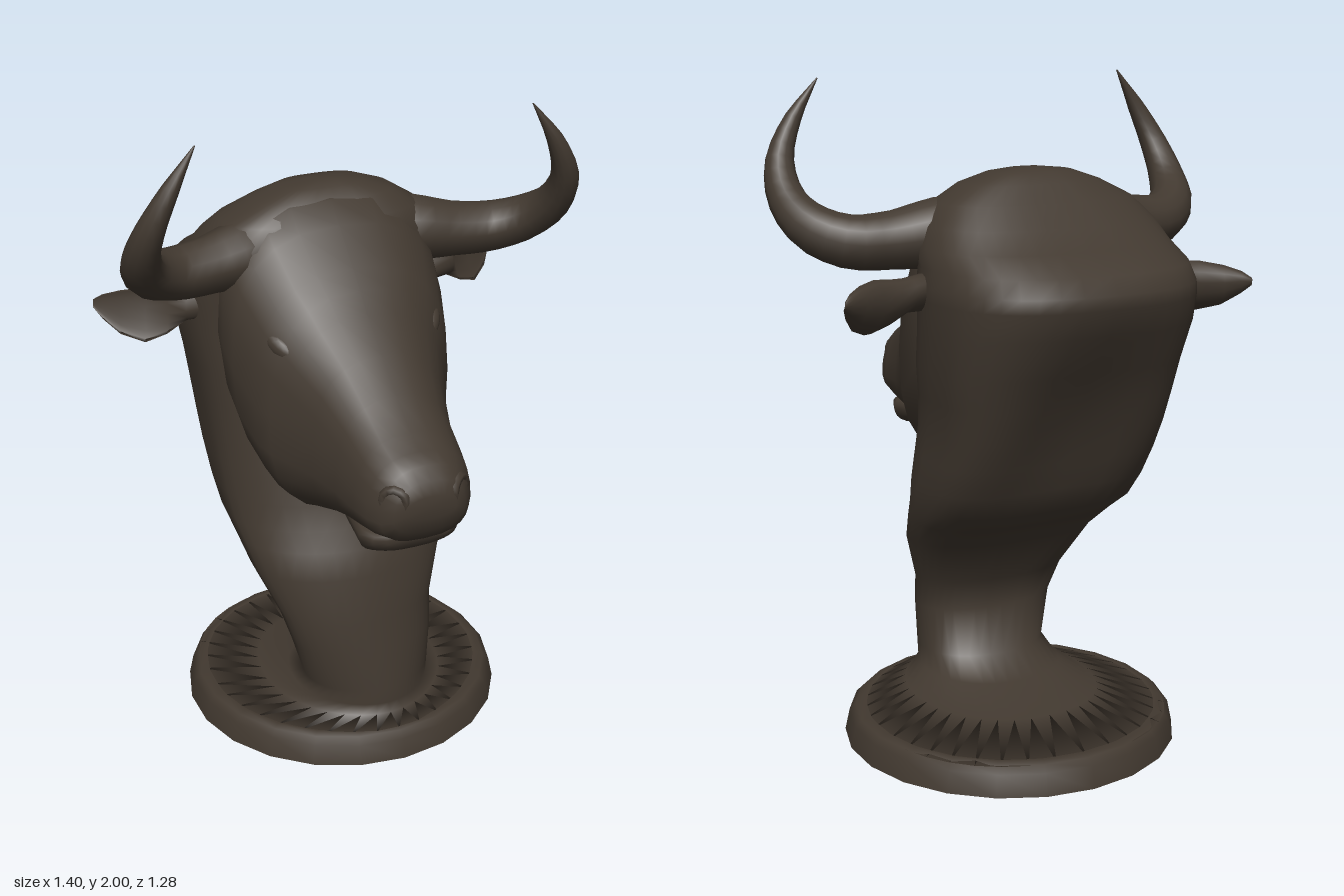
import * as THREE from 'three';

const hide = new THREE.MeshStandardMaterial({ color: 0x423930 });
hide.name = 'dark bronze';

// Closed smooth skin over a list of rings (each a loop of Vector3), wound outward
function loft(name, rings) {
  const n = rings[0].length, pos = [], idx = [];
  const centre = r => r.reduce((a, p) => a.add(p), new THREE.Vector3()).divideScalar(n);
  rings.flat().forEach(p => pos.push(p.x, p.y, p.z));
  const last = rings.length - 1;
  for (let i = 0; i < last; i++) {
    for (let j = 0; j < n; j++) {
      const a = i * n + j, b = i * n + (j + 1) % n;
      idx.push(a, a + n, b, b, a + n, b + n);
    }
  }
  const c0 = rings.length * n;
  [rings[0], rings[last]].forEach(r => pos.push(...centre(r).toArray()));
  for (let j = 0; j < n; j++) {
    const k = (j + 1) % n;
    idx.push(c0, j, k, c0 + 1, last * n + k, last * n + j);
  }
  // Signed volume decides the winding
  const at = i => new THREE.Vector3().fromArray(pos, i * 3);
  let volume = 0;
  for (let i = 0; i < idx.length; i += 3) {
    volume += at(idx[i]).dot(at(idx[i + 1]).cross(at(idx[i + 2])));
  }
  if (volume < 0) idx.reverse();
  const g = new THREE.BufferGeometry();
  g.setAttribute('position', new THREE.Float32BufferAttribute(pos, 3));
  g.setIndex(idx);
  g.computeVertexNormals();
  return part(name, g);
}

function part(name, geometry) {
  const m = new THREE.Mesh(geometry, hide);
  m.name = name;
  return m;
}

// Superellipse loop of unit size as [u, v] pairs; the v < 0 half may be squarer
function loop(n, p, pBack = p) {
  return Array.from({ length: n }, (_, j) => {
    const a = j / n * Math.PI * 2, c = Math.cos(a), s = Math.sin(a);
    const e = 2 / (s < 0 ? pBack : p);
    return [Math.sign(c) * Math.abs(c) ** e, Math.sign(s) * Math.abs(s) ** e];
  });
}

const bell = (x, mid, width) => Math.exp(-(((x - mid) / width) ** 2));
const HEAD_X = -0.025;

// Horizontal sections: y, back z, front z, half width, centre x
const neckRows = [
  [0.084, -0.595, 0.345, 0.47, 0.03], [0.12, -0.36, 0.30, 0.29, 0.02],
  [0.16, -0.17, 0.30, 0.22, 0.01], [0.21, -0.05, 0.295, 0.205, 0.01],
  [0.35, 0.00, 0.28, 0.23, -0.01], [0.45, -0.03, 0.26, 0.25, -0.02],
  [0.60, -0.13, 0.24, 0.31, -0.025], [0.68, -0.23, 0.21, 0.33, -0.025],
  [0.74, -0.31, 0.18, 0.345, -0.025], [0.82, -0.36, 0.15, 0.355, -0.025],
  [0.91, -0.405, 0.125, 0.358, -0.028], [1.00, -0.45, 0.10, 0.36, -0.03],
  [1.10, -0.495, 0.075, 0.37, -0.028], [1.20, -0.54, 0.05, 0.385, -0.025],
  [1.32, -0.60, 0.02, 0.40, -0.03], [1.40, -0.628, 0.01, 0.405, -0.03],
  [1.44, -0.63, 0.01, 0.405, -0.03], [1.49, -0.60, 0.01, 0.395, -0.03],
  [1.54, -0.49, 0.01, 0.385, -0.025], [1.60, -0.41, 0.01, 0.36, -0.025],
  [1.66, -0.335, -0.02, 0.31, -0.02], [1.71, -0.28, -0.06, 0.22, -0.01],
  [1.74, -0.245, -0.10, 0.13, -0.01], [1.75, -0.20, -0.14, 0.05, 0],
];

// Neck: rounded throat, squarer nape with a shallow hollow down its middle
function neck() {
  return loft('neckAndCrest', neckRows.map(([y, zb, zf, w, xc]) => {
    const throat = 1.9 + Math.max(0, y - 0.7);
    const nape = 2.2 + 0.35 * y + 1.3 * bell(y, 0.95, 0.25);
    return new Array(...loop(36, throat, nape)).map(([u, v]) => {
      const back = Math.max(0, -v);
      const hollow = 0.16 * bell(y, 1.02, 0.24) * bell(u, 0, 0.5) * back;
      const taper = 1 - 0.1 * bell(y, 1.5, 0.2) * back;
      return new THREE.Vector3(xc + u * w * taper, y,
        (zb + zf) / 2 + (v + hollow) * (zf - zb) / 2);
    });
  }));
}

// Upright sections: z, top y, bottom y, half width at top, half width at bottom
const headRows = [
  [-0.25, 1.68, 1.15, 0.33, 0.30], [-0.12, 1.73, 0.98, 0.36, 0.34],
  [-0.06, 1.715, 0.91, 0.36, 0.34], [0.00, 1.655, 0.86, 0.35, 0.335],
  [0.10, 1.555, 0.815, 0.31, 0.32], [0.15, 1.505, 0.81, 0.275, 0.30],
  [0.20, 1.45, 0.83, 0.245, 0.275], [0.30, 1.365, 0.865, 0.195, 0.24],
  [0.40, 1.28, 0.89, 0.165, 0.21], [0.50, 1.21, 0.915, 0.15, 0.20],
  [0.56, 1.18, 0.92, 0.14, 0.18], [0.60, 1.155, 0.925, 0.12, 0.15],
  [0.63, 1.12, 0.965, 0.10, 0.12], [0.643, 1.08, 1.01, 0.07, 0.08],
];
const chinRows = [
  [0.22, 0.96, 0.85, 0.08, 0.08], [0.36, 0.96, 0.865, 0.15, 0.13],
  [0.49, 0.95, 0.84, 0.165, 0.14], [0.54, 0.94, 0.865, 0.145, 0.12],
  [0.56, 0.93, 0.89, 0.11, 0.09],
];

function uprightLoft(name, rows) {
  return loft(name, rows.map(([z, top, bottom, wt, wb]) =>
    loop(24, 2.6).map(([u, v]) => new THREE.Vector3(
      HEAD_X + u * THREE.MathUtils.lerp(wb, wt, (v + 1) / 2),
      (top + bottom) / 2 + v * (top - bottom) / 2, z))));
}

// Horn: x, y, z, radius along a curve sweeping out, forward and up
const hornRows = [
  [0.10, 1.57, -0.17, 0.09], [0.26, 1.57, -0.125, 0.105], [0.40, 1.555, -0.10, 0.085],
  [0.52, 1.555, -0.075, 0.078], [0.61, 1.595, -0.01, 0.07], [0.648, 1.67, 0.075, 0.055],
  [0.64, 1.77, 0.14, 0.042], [0.59, 1.88, 0.165, 0.027], [0.51, 2.0, 0.16, 0.002],
];

function horn(side) {
  const curve = new THREE.CatmullRomCurve3(
    hornRows.map(([x, y, z]) => new THREE.Vector3(side * x, y, z)));
  const steps = 24, frames = curve.computeFrenetFrames(steps);
  const rings = [];
  for (let i = 0; i <= steps; i++) {
    const t = curve.getUtoTmapping(i / steps), f = t * (hornRows.length - 1);
    const k = Math.min(Math.floor(f), hornRows.length - 2);
    const r = THREE.MathUtils.lerp(hornRows[k][3], hornRows[k + 1][3], f - k);
    const c = curve.getPoint(t);
    rings.push(loop(12, 2).map(([u, v]) => c.clone()
      .addScaledVector(frames.normals[i], u * r)
      .addScaledVector(frames.binormals[i], v * r)));
  }
  return loft(side > 0 ? 'leftHorn' : 'rightHorn', rings);
}

// Ear: x, y, z, half height, thickness; cupped forward, upper rim leaning back
const earRows = [
  [0.32, 1.42, -0.20, 0.06, 0.06], [0.42, 1.415, -0.22, 0.052, 0.055],
  [0.48, 1.40, -0.225, 0.068, 0.065], [0.54, 1.395, -0.245, 0.08, 0.06],
  [0.60, 1.405, -0.29, 0.064, 0.045], [0.64, 1.42, -0.33, 0.036, 0.025],
  [0.66, 1.427, -0.355, 0.012, 0.008],
];

function ear(side) {
  return loft(side > 0 ? 'leftEar' : 'rightEar', earRows.map(([x, y, z, h, t], i) => {
    const droop = side < 0 ? 0.12 * (x - 0.32) : 0;
    const reach = side < 0 ? 0.06 * (x - 0.32) : 0;
    return loop(14, 2).map(([u, v]) => {
      const d = (v > 0 && i > 1 ? -0.2 * v * t : v * t) - 0.25 * u * h;
      return new THREE.Vector3(side * (x + reach + d * 0.4), y - droop + u * h, z + d * 0.9);
    });
  }));
}

export function createModel() {
  const group = new THREE.Group();
  group.name = 'bullHeadBust';

  // Round plinth with a softly rounded rim and a flat underside
  const base = new THREE.Group();
  base.name = 'base';
  const runs = [
    ['baseUnderside', [[0, 0], [0.514, 0]]],
    ['baseBody', [[0.514, 0], [0.5, 0.065], [0.48, 0.085], [0.455, 0.09], [0.38, 0.075]]],
  ];
  for (const [name, run] of runs) {
    base.add(part(name, new THREE.LatheGeometry(run.map(p => new THREE.Vector2(...p)), 22)));
  }
  base.position.set(0.03, 0, -0.125);
  group.add(base);

  group.add(neck(), uprightLoft('head', headRows), uprightLoft('lowerJaw', chinRows));

  for (const side of [1, -1]) {
    const label = side > 0 ? 'left' : 'right';
    group.add(horn(side), ear(side));

    // Low eyelid swelling, sunk into the cheek
    const eyelid = part(label + 'Eyelid', new THREE.SphereGeometry(0.05, 14, 10));
    eyelid.scale.set(0.6, 0.7, 1.3);
    eyelid.position.set(HEAD_X + side * 0.238, 1.36, 0.125);
    eyelid.rotation.set(0.6, side * -0.5, 0);

    const nostril = part(label + 'Nostril', new THREE.TorusGeometry(0.034, 0.014, 6, 12));
    nostril.position.set(HEAD_X + side * 0.1, 1.07, 0.608);
    nostril.rotation.y = side * 0.7;
    group.add(eyelid, nostril);
  }
  return group;
}
